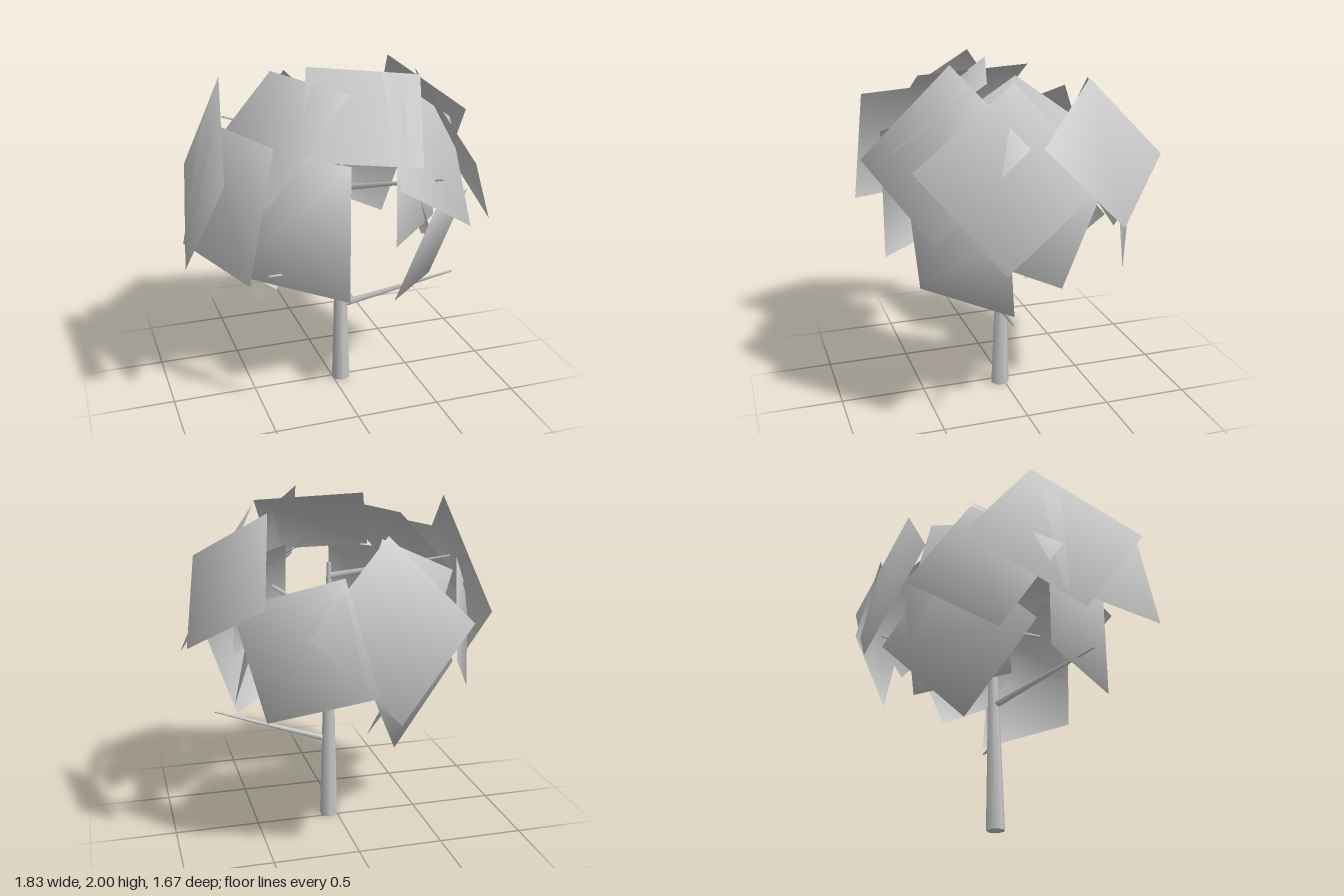
import * as THREE from 'three';

export function createModel() {
  const tree = new THREE.Group();
  tree.name = 'tree';
  const grey = new THREE.MeshStandardMaterial({ color: 0xc8c8c8, side: THREE.DoubleSide });
  grey.name = 'grey';
  const V = (p) => new THREE.Vector3(...p);

  // Tapered round limb between two points
  function limb(name, from, to, r0, r1, sides) {
    const a = V(from), b = V(to), dir = b.clone().sub(a);
    const mesh = new THREE.Mesh(new THREE.CylinderGeometry(r1, r0, dir.length(), sides), grey);
    mesh.position.copy(a).add(b).multiplyScalar(0.5);
    mesh.quaternion.setFromUnitVectors(new THREE.Vector3(0, 1, 0), dir.normalize());
    mesh.name = name;
    tree.add(mesh);
  }
  limb('trunk', [0.05, 0, 0.025], [0.05, 1.6, 0], 0.056, 0.013, 6);
  [
    [[0.05, 0.5, 0.02], [0.72, 0.69, 0.16], 0.022],
    [[0.04, 0.75, 0.02], [-0.5, 0.94, 0.43], 0.022],
    [[0.05, 1.01, 0.0], [0.245, 1.2, -0.64], 0.02],
    [[0.04, 1.25, 0.0], [0.43, 1.45, 0.6], 0.02],
    [[0.04, 1.52, 0.0], [-0.58, 1.66, -0.28], 0.02],
  ].forEach(([from, to, r], i) => limb('branch' + (i + 1), from, to, r, 0.006, 5));

  // Flat four-cornered leaf sheet, facing outward, shaded as part of a round crown
  const heart = new THREE.Vector3(0, 1.15, 0);
  function leafSheet(name, corners) {
    const p = corners.map(V);
    const flat = p[1].clone().sub(p[0]).cross(p[3].clone().sub(p[0]));
    const middle = p[0].clone().add(p[2]).multiplyScalar(0.5).sub(heart);
    if (flat.dot(middle) < 0) p.reverse();
    const normals = p.map((q) => q.clone().sub(heart).normalize());
    const g = new THREE.BufferGeometry();
    g.setAttribute('position', new THREE.Float32BufferAttribute(p.flatMap((q) => q.toArray()), 3));
    g.setAttribute('normal', new THREE.Float32BufferAttribute(normals.flatMap((q) => q.toArray()), 3));
    g.setIndex([0, 1, 2, 0, 2, 3]);
    const mesh = new THREE.Mesh(g, grey);
    mesh.name = name;
    tree.add(mesh);
  }

  // Front and top sheets
  leafSheet('leafFront', [[-0.65, 1.6, 0.11], [-0.12, 1.6, 0.68], [-0.12, 0.84, 0.68], [-0.65, 0.84, 0.11]]);
  leafSheet('leafTopFront', [[-0.165, 1.985, 0.045], [0.44, 1.94, 0.22], [0.27, 1.56, 0.7], [-0.335, 1.6, 0.525]]);
  leafSheet('leafTopRight', [[-0.29, 1.91, -0.26], [-0.055, 1.915, 0.47], [-0.55, 1.41, 0.65], [-0.8, 1.4, -0.09]]);
  leafSheet('leafTopBack', [[-0.06, 1.885, -0.105], [0.53, 1.66, -0.37], [0.71, 1.395, 0.165], [0.13, 1.62, 0.435]]);

  // Sheets on the +x side
  leafSheet('leafLeftFront', [[0.165, 2.0, 0.345], [0.09, 1.5, 0.835], [0.627, 1.145, 0.56], [0.702, 1.645, 0.07]]);
  leafSheet('leafLeft', [[0.468, 1.945, 0.08], [0.588, 1.54, 0.66], [0.9, 1.05, 0.26], [0.78, 1.455, -0.32]]);
  leafSheet('leafLeftBack', [[0.466, 1.945, -0.34], [0.82, 1.67, 0.04], [0.917, 1.25, -0.365], [0.56, 1.525, -0.735]]);
  leafSheet('leafLeftLow', [[0.375, 1.3, 0.635], [0.775, 1.235, 0.205], [0.59, 0.68, 0.115], [0.19, 0.745, 0.545]]);
  leafSheet('leafLeftInner', [[0.64, 0.835, -0.14], [0.49, 1.03, 0.36], [0.39, 1.52, 0.1], [0.54, 1.325, -0.4]]);
  leafSheet('leafLeftFrontInner', [[0.2, 1.06, 0.53], [0.6, 1.06, 0.12], [0.58, 1.6, 0.1], [0.2, 1.62, 0.5]]);

  // Sheets on the -x side
  leafSheet('leafRightFront', [[-0.53, 1.74, 0.71], [-0.68, 1.05, 0.755], [-0.9, 1.05, 0.085], [-0.75, 1.74, 0.04]]);
  leafSheet('leafRight', [[-0.645, 1.96, 0.015], [-0.79, 1.355, -0.42], [-0.915, 0.945, 0.21], [-0.765, 1.55, 0.64]]);
  leafSheet('leafRightBack', [[-0.6, 1.66, -0.33], [-0.49, 1.17, -0.66], [-0.745, 0.85, -0.21], [-0.86, 1.34, 0.11]]);

  // Back sheets
  leafSheet('leafBack', [[-0.12, 1.84, -0.58], [0.35, 1.375, -0.79], [-0.14, 0.875, -0.8], [-0.62, 1.34, -0.585]]);
  leafSheet('leafBackLeft', [[0.68, 1.465, -0.42], [0.14, 1.655, -0.69], [-0.01, 1.05, -0.835], [0.53, 0.86, -0.55]]);
  leafSheet('leafBackInner', [[-0.13, 1.8, -0.44], [-0.65, 1.55, -0.16], [-0.42, 0.96, -0.28], [0.1, 1.21, -0.56]]);
  leafSheet('leafBackLow', [[-0.28, 0.52, -0.26], [-0.02, 1.0, -0.68], [-0.475, 1.42, -0.42], [-0.735, 0.94, 0]]);
  leafSheet('leafBackLowInner', [[-0.04, 0.715, -0.49], [-0.38, 0.77, -0.02], [-0.63, 1.37, -0.16], [-0.29, 1.315, -0.63]]);

  return tree;
}
